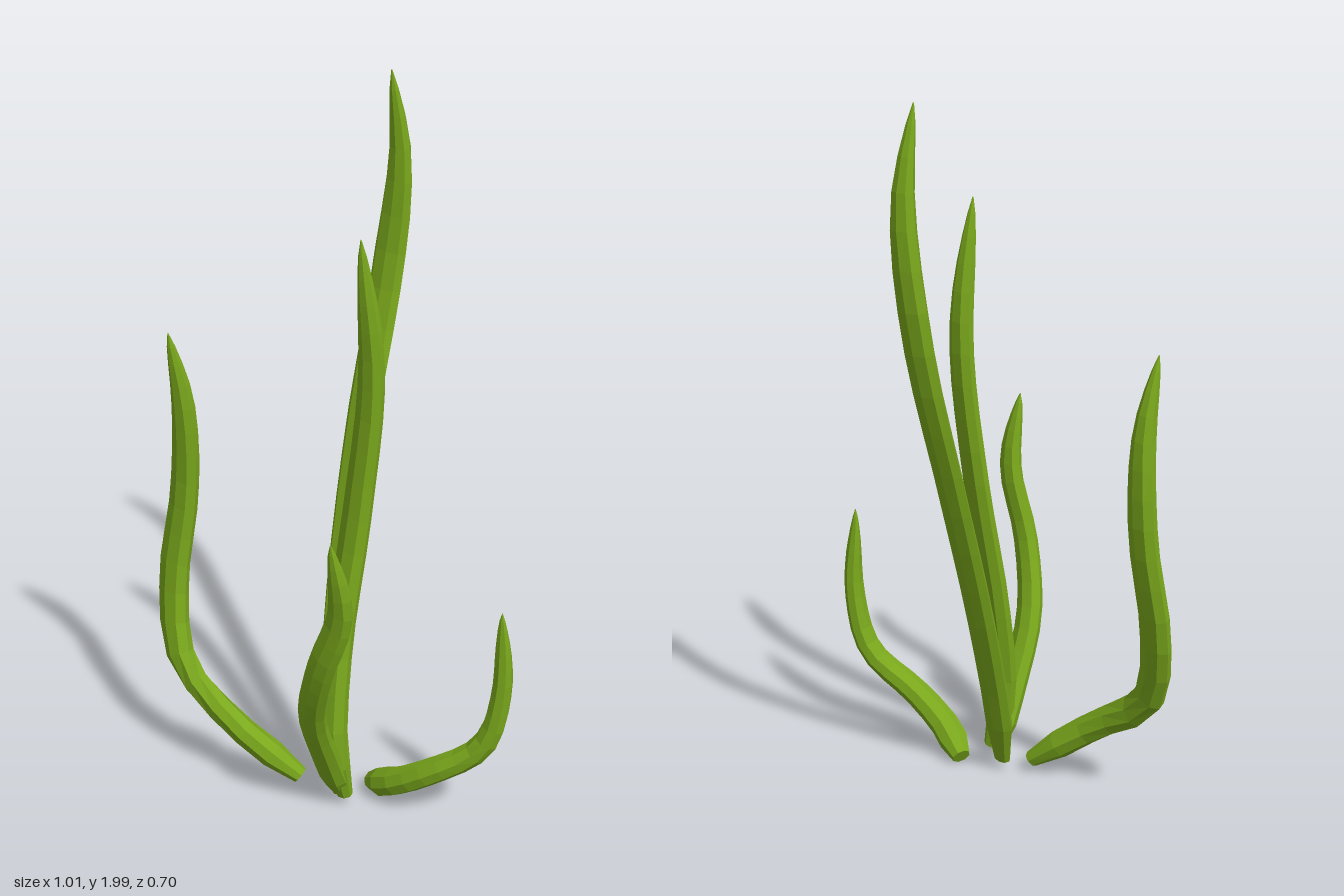
import * as THREE from 'three';

const SIDES = 8, RINGS = 18;
const green = new THREE.MeshStandardMaterial({ color: 0x7aa81c, flatShading: true });

// Blends base, middle and tip values along the blade
const blend = ([a, b, c], s) =>
  s < 0.5 ? THREE.MathUtils.lerp(a, b, s * 2) : THREE.MathUtils.lerp(b, c, s * 2 - 1);

// Narrow foot, full body, rounded point over the last stretch
const outline = (s, tipLength) =>
  (0.6 + 0.4 * THREE.MathUtils.smoothstep(s, 0, 0.07)) *
  (0.04 + 0.96 * Math.sin(Math.PI / 2 * Math.min(1, (1 - s) / tipLength)) ** 0.72);

// Flattened stem lofted along a curve; turn is the heading of its broad side
function makeBlade(name, turn, widths, depths, path) {
  const curve = new THREE.CatmullRomCurve3(path.map(p => new THREE.Vector3(...p)));
  const pos = [], index = [];
  for (let i = 0; i <= RINGS; i++) {
    const s = 1 - (1 - i / RINGS) ** 1.25;
    const c = curve.getPointAt(s), t = curve.getTangentAt(s);
    const u = new THREE.Vector3(Math.cos(turn), 0, Math.sin(turn));
    u.addScaledVector(t, -u.dot(t)).normalize();
    const v = t.clone().cross(u);
    const w = blend(widths, s) * outline(s, 0.3);
    const d = blend(depths, s) * outline(s, 0.17);
    for (let j = 0; j < SIDES; j++) {
      const a = (j / SIDES) * Math.PI * 2;
      pos.push(...c.clone().addScaledVector(u, Math.cos(a) * w)
        .addScaledVector(v, Math.sin(a) * d).toArray());
    }
  }
  // Side walls and the two end caps
  const base = pos.length / 3, tip = base + 1;
  pos.push(...path[0], ...path[path.length - 1]);
  for (let j = 0; j < SIDES; j++) {
    const k = (j + 1) % SIDES;
    for (let i = 0; i < RINGS; i++) {
      const a = i * SIDES + j, b = i * SIDES + k;
      index.push(a, b, b + SIDES, a, b + SIDES, a + SIDES);
    }
    index.push(base, k, j, tip, RINGS * SIDES + j, RINGS * SIDES + k);
  }
  const g = new THREE.BufferGeometry();
  g.setAttribute('position', new THREE.Float32BufferAttribute(pos, 3));
  g.setIndex(index);
  g.computeVertexNormals();
  const mesh = new THREE.Mesh(g, green);
  mesh.name = name;
  return mesh;
}

export function createModel() {
  const group = new THREE.Group();
  group.name = 'grassTuft';
  group.add(
    makeBlade('tallBackBlade', -0.28, [0.043, 0.049, 0.05], [0.03, 0.023, 0.029], [
      [0.018, 0.042, 0.092], [-0.02, 0.2, 0.052], [-0.112, 0.6, -0.075], [-0.17, 1, -0.2],
      [-0.181, 1.4, -0.3], [-0.154, 1.75, -0.323], [-0.155, 2, -0.29]]),
    makeBlade('centreBlade', 0.1, [0.046, 0.053, 0.042], [0.037, 0.03, 0.027], [
      [0.105, 0.04, 0.115], [0.095, 0.2, 0.145], [0.068, 0.5, 0.104],
      [0.069, 0.9, 0.034], [0.086, 1.3, 0], [0.083, 1.68, 0.036]]),
    makeBlade('rightBlade', 0.05, [0.037, 0.058, 0.042], [0.041, 0.032, 0.029], [
      [-0.038, 0.045, 0.155], [-0.2, 0.195, 0.263], [-0.376, 0.335, 0.301],
      [-0.443, 0.55, 0.272], [-0.427, 0.85, 0.232], [-0.412, 1.12, 0.238], [-0.415, 1.335, 0.277]]),
    makeBlade('frontLeftBlade', -0.05, [0.046, 0.045, 0.045], [0.036, 0.028, 0.022], [
      [0.085, 0.045, 0.115], [0.11, 0.2, 0.188], [0.154, 0.4, 0.276],
      [0.237, 0.6, 0.318], [0.312, 0.8, 0.315], [0.313, 1.015, 0.348]]),
    makeBlade('leftBlade', 1.37, [0.045, 0.034, 0.022], [0.044, 0.034, 0.021], [
      [0.105, 0.032, 0.008], [0.2, 0.083, 0.018], [0.31, 0.157, -0.014],
      [0.434, 0.268, -0.095], [0.474, 0.44, -0.122], [0.475, 0.703, -0.114]]),
  );
  // Rest the lowest blade on the ground
  const { min } = new THREE.Box3().setFromObject(group);
  group.children.forEach(m => m.geometry.translate(0, -min.y, 0));
  return group;
}
